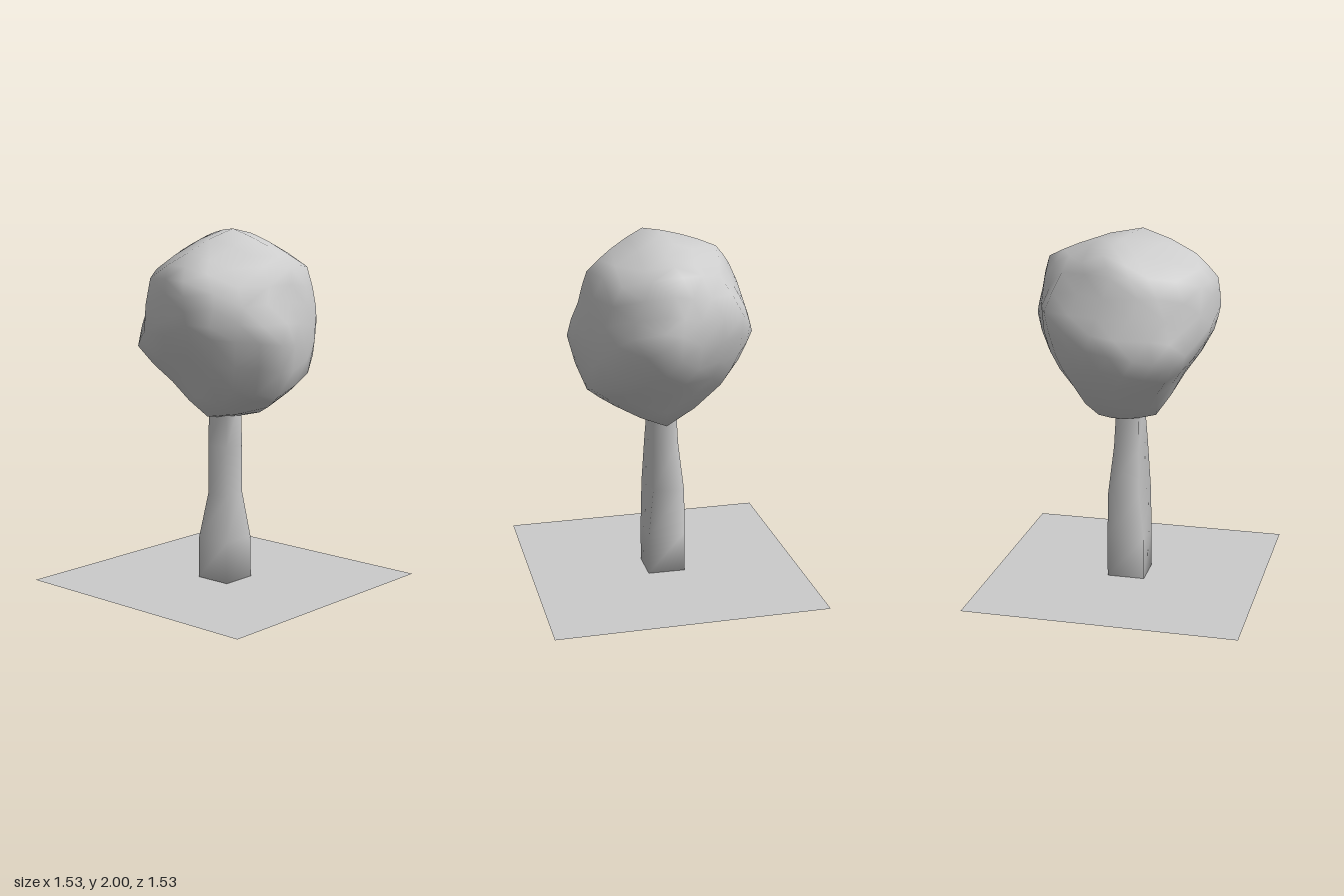
import * as THREE from 'three';
import { mergeVertices } from 'three/addons/utils/BufferGeometryUtils.js';
import { ConvexGeometry } from 'three/addons/geometries/ConvexGeometry.js';

const CENTRE = new THREE.Vector3(0, 1.46, 0);

// Corners of the crown, from top to bottom: x, y, z
const CROWN = [
  [0.10, 2.00, 0.05], [-0.10, 1.97, -0.02], [-0.28, 1.91, -0.08], [0.29, 1.91, -0.02], [0.05, 1.88, 0.36], [0.05, 1.91, -0.30],
  [0.43, 1.80, -0.05], [-0.37, 1.80, -0.02], [0, 1.84, -0.46], [0.26, 1.80, 0.24], [-0.30, 1.80, 0.17],
  [-0.16, 1.74, 0.43], [-0.24, 1.80, -0.32], [0.30, 1.78, -0.35], [0.12, 1.74, 0.47],
  [0.47, 1.62, 0], [0.14, 1.58, 0.485], [-0.33, 1.58, 0.27], [-0.44, 1.60, -0.08], [-0.35, 1.60, -0.39],
  [0.10, 1.65, -0.53], [0.39, 1.56, -0.32], [0.36, 1.60, 0.26], [-0.10, 1.60, -0.48],
  [0.13, 1.48, -0.575], [-0.48, 1.43, -0.13], [0.515, 1.40, 0.12], [0.14, 1.44, 0.45], [-0.22, 1.44, 0.42],
  [-0.37, 1.34, 0.32], [0.34, 1.42, 0.30], [0.27, 1.38, -0.46], [0.47, 1.38, -0.13], [-0.35, 1.37, -0.33],
  [-0.10, 1.33, -0.44], [-0.45, 1.38, 0.12],
  [0.42, 1.10, 0.05], [-0.37, 1.20, 0], [0, 1.22, 0.31], [0.05, 1.15, -0.35], [0.28, 1.15, 0.25], [-0.22, 1.14, 0.20],
  [-0.27, 1.17, -0.25], [0.40, 1.20, -0.24], [0.28, 1.02, -0.04], [-0.12, 0.96, 0], [0, 0.96, 0.15], [0.02, 0.93, -0.19],
];

// Midpoint of an edge, lifted part of the way to a rounded surface
function roundedMid(a, b) {
  const mid = a.clone().add(b).multiplyScalar(0.5);
  const chord = mid.length();
  const round = (a.length() + b.length()) / 2;
  return mid.setLength(chord + 0.45 * (round - chord));
}

function crownGeometry() {
  const corners = CROWN.map((p) => new THREE.Vector3(...p).sub(CENTRE));
  const dirs = corners.map((c) => c.clone().normalize());

  // Join the corners by their directions, so that hollows are kept
  const hull = new ConvexGeometry(dirs).attributes.position;
  const cornerAt = (i) => {
    const d = new THREE.Vector3().fromBufferAttribute(hull, i);
    let best = 0;
    dirs.forEach((dir, k) => { if (dir.dot(d) > dirs[best].dot(d)) best = k; });
    return corners[best];
  };

  // Split each triangle in four
  const points = [];
  for (let i = 0; i < hull.count; i += 3) {
    const [a, b, c] = [cornerAt(i), cornerAt(i + 1), cornerAt(i + 2)];
    const [ab, bc, ca] = [roundedMid(a, b), roundedMid(b, c), roundedMid(c, a)];
    points.push(a, ab, ca, ab, b, bc, ca, bc, c, ab, bc, ca);
  }
  const geometry = mergeVertices(new THREE.BufferGeometry().setFromPoints(points), 1e-4);
  geometry.translate(CENTRE.x, CENTRE.y, CENTRE.z);
  geometry.computeVertexNormals();
  return geometry;
}

// Four-cornered trunk: y, reach of the (+,+), (+,-), (-,-), (-,+) corners
const TRUNK = [
  [0.003, 0.104, 0.104, 0.107, 0.107],
  [0.24, 0.104, 0.102, 0.107, 0.106],
  [0.5, 0.099, 0.068, 0.104, 0.068],
  [0.78, 0.084, 0.067, 0.075, 0.068],
  [1.05, 0.066, 0.062, 0.062, 0.064],
];

function trunkGeometry() {
  const signs = [[1, 1], [1, -1], [-1, -1], [-1, 1]];
  const points = [], index = [];
  TRUNK.forEach(([y, ...reach], row) => {
    signs.forEach(([sx, sz], k) => {
      points.push(sx * reach[k], y, sz * reach[k]);
      if (row === 0) return;
      const a = (row - 1) * 4 + k, b = (row - 1) * 4 + (k + 1) % 4;
      index.push(a, b, b + 4, a, b + 4, a + 4);
    });
  });
  index.push(0, 2, 1, 0, 3, 2);
  const geometry = new THREE.BufferGeometry();
  geometry.setAttribute('position', new THREE.Float32BufferAttribute(points, 3));
  geometry.setIndex(index);
  geometry.computeVertexNormals();
  return geometry;
}

export function createModel() {
  const group = new THREE.Group();
  group.name = 'tree';
  const add = (name, geometry) => {
    const material = new THREE.MeshStandardMaterial({ color: 0xcccccc, side: THREE.DoubleSide });
    const mesh = new THREE.Mesh(geometry, material);
    mesh.name = name;
    group.add(mesh);
  };
  add('groundSheet', new THREE.PlaneGeometry(1.535, 1.535).rotateX(-Math.PI / 2));
  add('trunk', trunkGeometry());
  add('crown', crownGeometry());
  return group;
}
